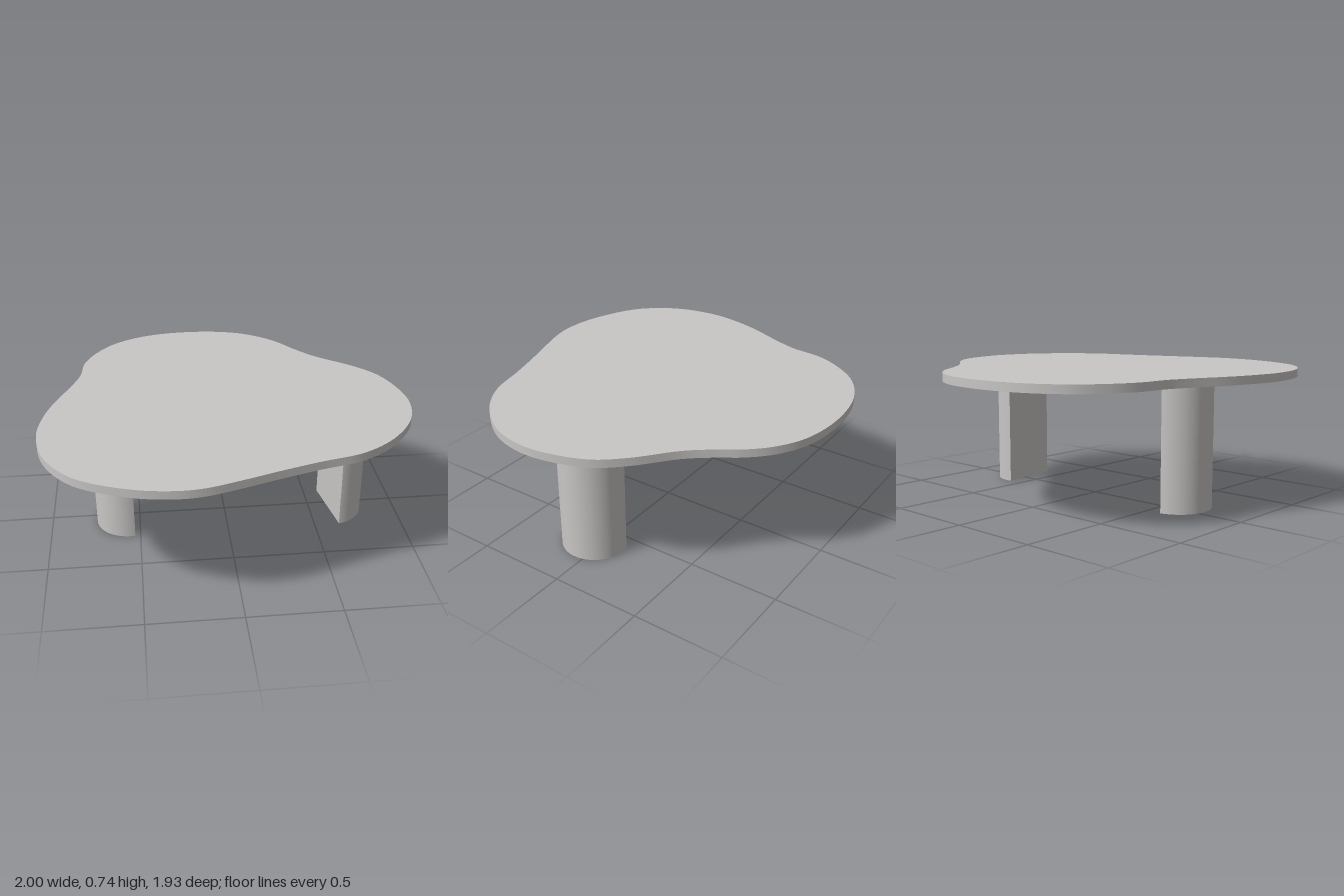
import * as THREE from 'three';
import { toCreasedNormals } from 'three/addons/utils/BufferGeometryUtils.js';

const TOP_Y = 0.735, LEG_H = 0.69, LEG_R = 0.186, LEG_TURN = THREE.MathUtils.degToRad(9);

// Extrudes a plan shape (x, z) downwards from yTop
function slab(shape, yTop, depth, curveSegments) {
  const geometry = new THREE.ExtrudeGeometry(shape, { depth, bevelEnabled: false, curveSegments });
  return geometry.rotateX(Math.PI / 2).translate(0, yTop, 0);
}

export function createModel() {
  const model = new THREE.Group();
  model.name = 'coffeeTable';
  const stone = new THREE.MeshStandardMaterial({ color: 0xc9c7c5 });
  stone.name = 'warm grey';

  // Pebble-shaped top: smooth closed curve through plan points (x, z)
  const outline = [
    [-0.13, -0.97], [0.135, -0.935], [0.30, -0.85], [0.415, -0.74], [0.50, -0.62], [0.60, -0.50],
    [0.80, -0.33], [0.91, -0.20], [0.975, -0.03], [1.0, 0.16], [0.95, 0.375], [0.80, 0.58],
    [0.617, 0.705], [0.40, 0.765], [0.19, 0.83], [0, 0.895], [-0.185, 0.95], [-0.32, 0.96],
    [-0.53, 0.925], [-0.80, 0.795], [-0.95, 0.59], [-1.0, 0.35], [-0.98, 0.16], [-0.93, -0.015],
    [-0.85, -0.21], [-0.80, -0.36], [-0.78, -0.53], [-0.72, -0.67], [-0.60, -0.82], [-0.40, -0.93],
  ].map(([x, z]) => new THREE.Vector3(x, z, 0));
  const points = new THREE.CatmullRomCurve3(outline, true).getPoints(180).slice(0, -1);
  const topShape = new THREE.Shape(points.map((p) => new THREE.Vector2(p.x, p.y)));
  const top = new THREE.Mesh(toCreasedNormals(slab(topShape, TOP_Y, TOP_Y - LEG_H), 0.6), stone);
  top.name = 'tableTop';
  model.add(top);

  // Faceted half-round legs, flat sides facing each other
  const legShape = new THREE.Shape();
  legShape.absarc(0, 0, LEG_R, -Math.PI / 2, Math.PI / 2, false);
  legShape.closePath();
  const legGeometry = slab(legShape, LEG_H, LEG_H, 32);
  for (const [name, x, turn] of [['leftLeg', 0.613, 0], ['rightLeg', -0.559, Math.PI]]) {
    const leg = new THREE.Mesh(legGeometry, stone);
    leg.name = name;
    leg.position.set(x, 0, 0.05);
    leg.rotation.y = LEG_TURN + turn;
    model.add(leg);
  }
  return model;
}
